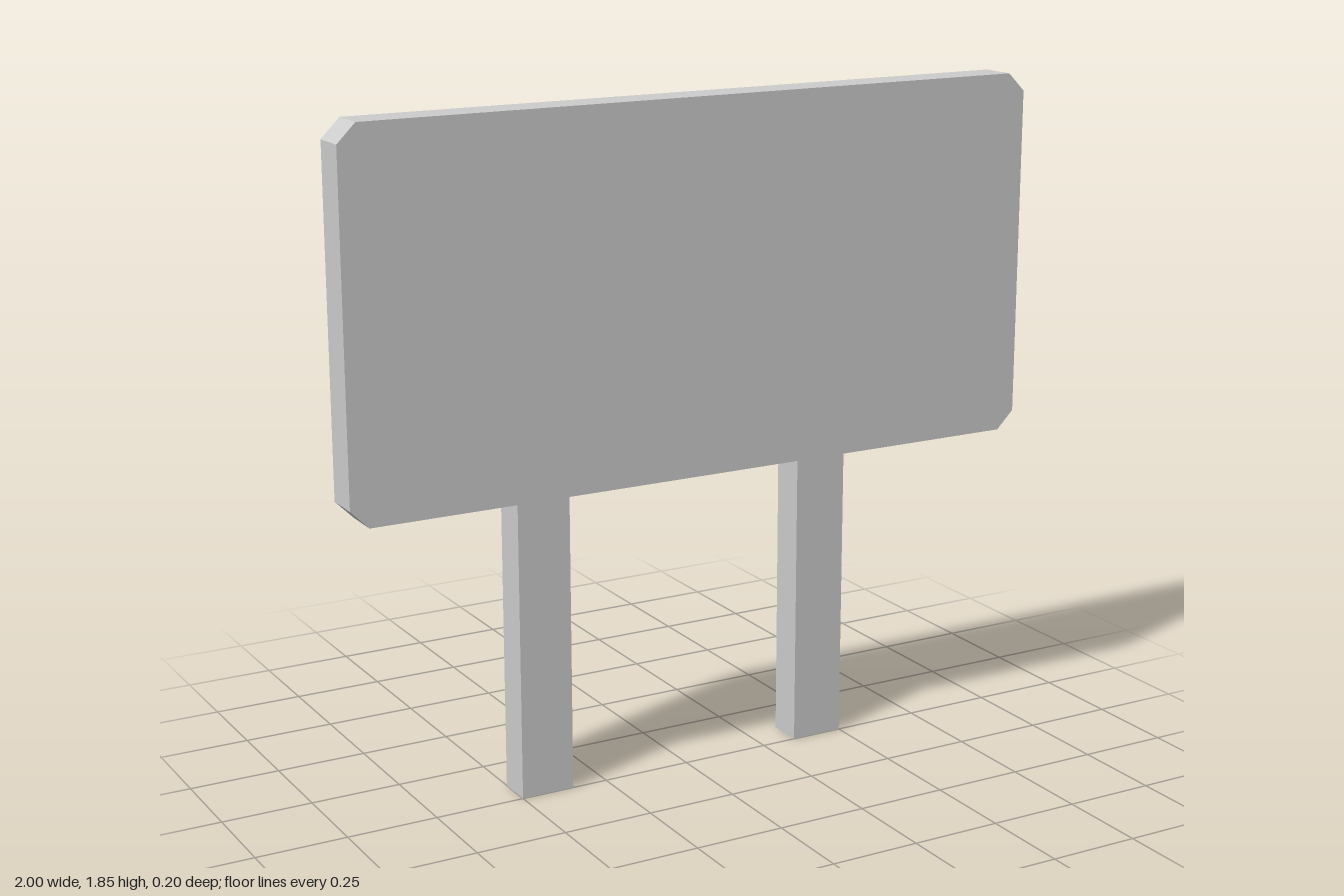
import * as THREE from 'three';

const material = new THREE.MeshStandardMaterial({ color: 0xcccccc, flatShading: true });

// Extrude a closed outline without bevels
function slab(points, depth) {
  const shape = new THREE.Shape(points.map(([x, y]) => new THREE.Vector2(x, y)));
  return new THREE.ExtrudeGeometry(shape, { depth, bevelEnabled: false });
}

export function createModel() {
  const group = new THREE.Group();
  group.name = 'signboard';

  // Board with chamfered corners
  const w = 1, bottom = 0.85, top = 1.85, c = 0.05, thickness = 0.1;
  const board = new THREE.Mesh(slab([
    [-w + c, bottom], [w - c, bottom], [w, bottom + c], [w, top - c],
    [w - c, top], [-w + c, top], [-w, top - c], [-w, bottom + c],
  ], thickness), material);
  board.name = 'board';
  group.add(board);

  // Posts behind the board, tops sloping down to the back
  const postWidth = 0.15;
  const postGeometry = slab([[0, 0], [0.1, 0], [0.1, 1.05], [0, 1.15]], postWidth);
  postGeometry.rotateY(Math.PI / 2).translate(-postWidth / 2, 0, 0);
  for (const side of [-1, 1]) {
    const post = new THREE.Mesh(postGeometry, material);
    post.name = side > 0 ? 'leftPost' : 'rightPost';
    post.position.x = side * 0.425;
    group.add(post);
  }

  return group;
}
